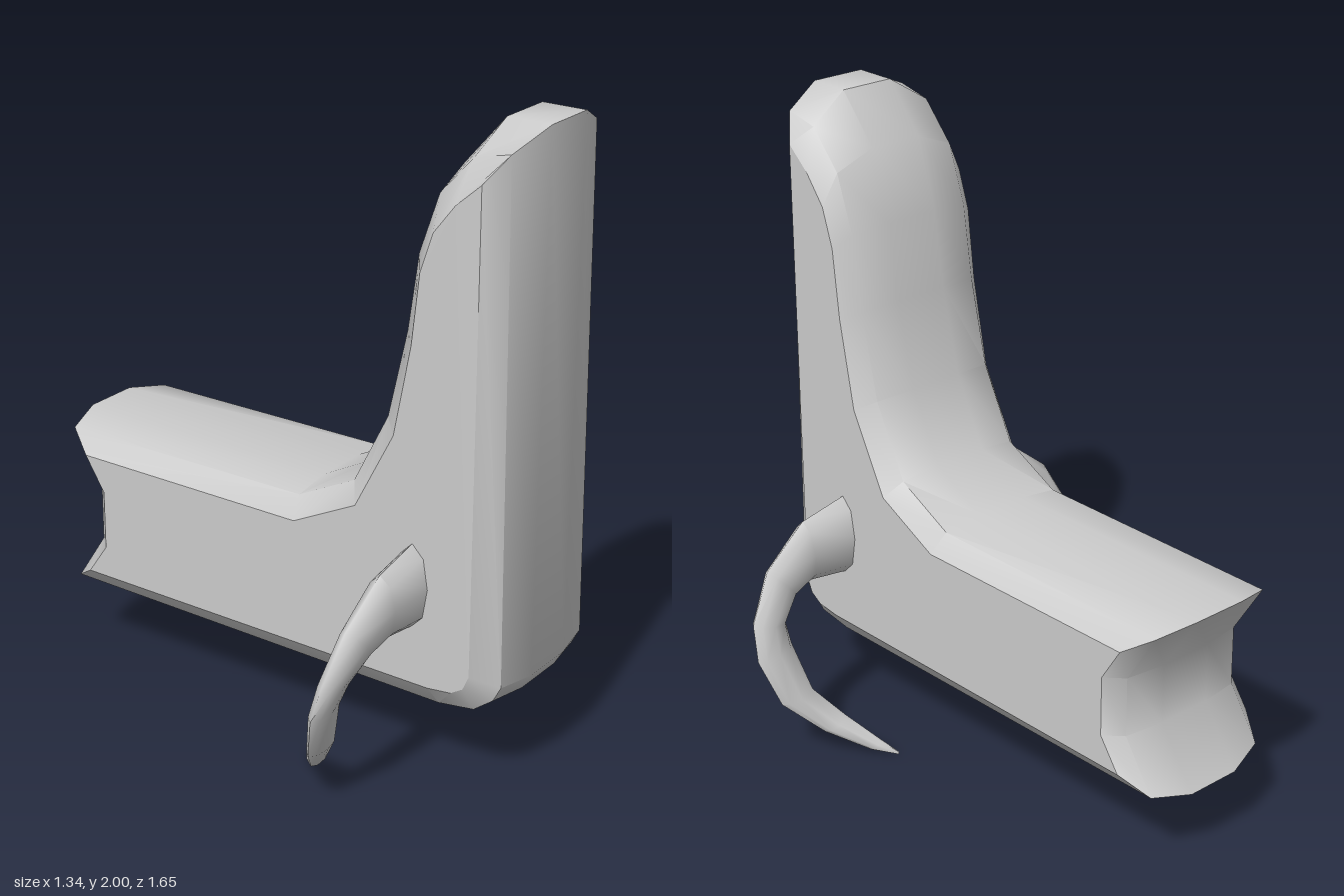
import * as THREE from 'three';
import { toCreasedNormals } from 'three/addons/utils/BufferGeometryUtils.js';

const material = new THREE.MeshStandardMaterial({ color: 0xcccccc });

// Skin a list of closed rings (each an array of [x, y, z])
function loft(rings, crease) {
  const n = rings[0].length, index = [];
  for (let i = 0; i < rings.length - 1; i++) {
    for (let j = 0; j < n; j++) {
      const a = i * n + j, b = i * n + (j + 1) % n;
      index.push(a, a + n, b, a + n, b + n, b);
    }
  }
  const geo = new THREE.BufferGeometry();
  geo.setAttribute('position', new THREE.Float32BufferAttribute(rings.flat(2), 3));
  geo.setIndex(index);
  return toCreasedNormals(geo, crease);
}

function addMesh(parent, geo, name) {
  const mesh = new THREE.Mesh(geo, material);
  mesh.name = name;
  parent.add(mesh);
}

// L-shaped profile: outer z, y, then the inset z, y on the flat side, then shoulder blend
const profile = [
  [0.83, 0.36, 0.73, 0.40, 0.22],
  [0.83, 2.00, 0.73, 1.86, 0.42],
  [0.69, 2.00, 0.65, 1.79, 0.40],
  [0.56, 1.85, 0.58, 1.70, 0.35],
  [0.49, 1.63, 0.54, 1.58, 0.28],
  [0.455, 1.39, 0.515, 1.36, 0.25],
  [0.39, 1.12, 0.46, 1.08, 0.25],
  [0.28, 0.90, 0.33, 0.83, 0.25],
  [0.09, 0.80, 0.11, 0.72, 0.22],
  [-0.825, 0.80, -0.70, 0.72, 0.3],
  [-0.70, 0.61, -0.63, 0.61, 0.25],
  [-0.70, 0.42, -0.63, 0.42, 0.25],
  [-0.825, 0.235, -0.70, 0.32, 0.3],
  [0.60, 0.235, 0.59, 0.32, 0.2],
  [0.73, 0.255, 0.67, 0.33, 0.2],
  [0.80, 0.31, 0.71, 0.355, 0.2],
];

function createBody() {
  const body = new THREE.Group();
  body.name = 'body';
  const ring = (x, level) => profile.map(([z, y, iz, iy, blend]) => {
    const t = level === 1 ? blend : level / 2;
    return [x, THREE.MathUtils.lerp(y, iy, t), THREE.MathUtils.lerp(z, iz, t)];
  });
  const rings = [[-0.27, 2], [-0.22, 1], [-0.09, 0], [0.09, 0], [0.22, 1], [0.27, 2]]
    .map(([x, level]) => ring(x, level));
  addMesh(body, loft(rings, 0.75), 'roundedShell');

  // Flat side faces
  for (const s of [1, -1]) {
    const shape = new THREE.Shape(profile.map((p) => new THREE.Vector2(-s * p[2], p[3])));
    const side = new THREE.ShapeGeometry(shape).rotateY(s * Math.PI / 2).translate(s * 0.27, 0, 0);
    addMesh(body, side, s > 0 ? 'leftSide' : 'rightSide');
  }
  return body;
}

// Tusk stations: outer x, y, inner x, y, centre z, half thickness in z
const tuskStations = [
  [0.25, 0.77, 0.25, 0.50, 0.53, 0.055],
  [0.43, 0.73, 0.41, 0.52, 0.53, 0.048],
  [0.58, 0.61, 0.48, 0.50, 0.52, 0.04],
  [0.66, 0.46, 0.54, 0.44, 0.495, 0.035],
  [0.67, 0.35, 0.54, 0.37, 0.465, 0.03],
  [0.62, 0.20, 0.50, 0.21, 0.42, 0.026],
  [0.51, 0.09, 0.43, 0.12, 0.35, 0.022],
  [0.40, 0.02, 0.37, 0.05, 0.26, 0.016],
  [0.335, 0.0, 0.335, 0.01, 0.205, 0.002],
];

function createTusk(s) {
  const sides = 8;
  const rings = tuskStations.map(([ox, oy, ix, iy, z, rz]) =>
    Array.from({ length: sides }, (_, k) => {
      const a = k / sides * Math.PI * 2, c = Math.cos(a) / 2;
      return [
        s * ((ox + ix) / 2 + (ox - ix) * c),
        (oy + iy) / 2 + (oy - iy) * c,
        z - s * rz * Math.sin(a),
      ];
    }));
  return loft(rings, 1.4);
}

export function createModel() {
  const model = new THREE.Group();
  model.name = 'tuskedBlock';
  model.add(createBody());
  addMesh(model, createTusk(1), 'leftTusk');
  addMesh(model, createTusk(-1), 'rightTusk');
  return model;
}
